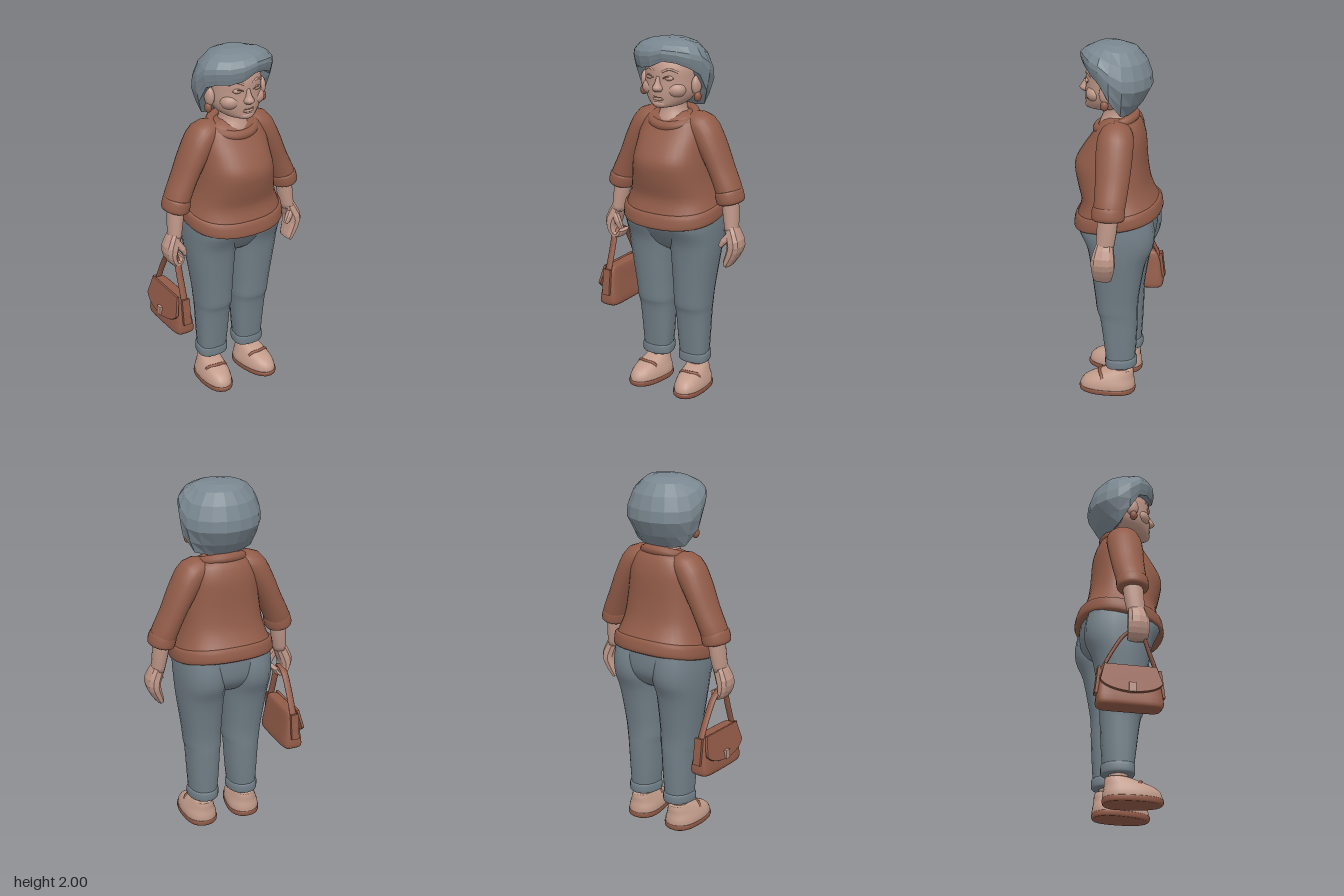
import * as THREE from 'three';

const mat = (name, color) => {
  const m = new THREE.MeshStandardMaterial({ color });
  m.name = name;
  return m;
};

// Closed surface through rows of points, ordered top to bottom
function skinRows(rows, faceted = false) {
  const n = rows[0].length, pos = [], idx = [];
  rows.forEach(r => r.forEach(p => pos.push(...p)));
  const cap = (row, start, flip) => {
    const c = [0, 1, 2].map(k => row.reduce((s, p) => s + p[k], 0) / n);
    const ci = pos.length / 3;
    pos.push(...c);
    for (let j = 0; j < n; j++) {
      const a = start + j, b = start + (j + 1) % n;
      flip ? idx.push(ci, b, a) : idx.push(ci, a, b);
    }
  };
  for (let i = 0; i < rows.length - 1; i++)
    for (let j = 0; j < n; j++) {
      const a = i * n + j, b = i * n + (j + 1) % n;
      idx.push(a, b, a + n, b, b + n, a + n);
    }
  cap(rows[0], 0, true);
  cap(rows[rows.length - 1], (rows.length - 1) * n, false);
  let g = new THREE.BufferGeometry();
  g.setAttribute('position', new THREE.Float32BufferAttribute(pos, 3));
  g.setIndex(idx);
  if (faceted) g = g.toNonIndexed();
  g.computeVertexNormals();
  return g;
}

// Catmull-Rom resampling of ring parameters
function resample(rings, k) {
  const out = [], at = i => rings[Math.max(0, Math.min(rings.length - 1, i))];
  for (let i = 0; i < rings.length - 1; i++)
    for (let s = 0; s < k; s++) {
      const t = s / k;
      out.push(at(i).map((b, c) => {
        const a = at(i - 1)[c], d = at(i + 1)[c], e = at(i + 2)[c];
        return b + 0.5 * t * (d - a + t * (2 * a - 5 * b + 4 * d - e + t * (3 * (b - d) + e - a)));
      }));
    }
  out.push(at(rings.length - 1));
  return out;
}

// Rings are [x, y, z, halfWidth, frontDepth, backDepth, tilt]; bend turns them to follow the path
function loft(rings, { segs = 24, sub = 3, power = 2, bend = false, faceted = false } = {}) {
  const full = rings.map(([x, y, z, rx, rf, rb = rf, tilt = 0]) => [x, y, z, rx, rf, rb, tilt]);
  const rs = resample(full, sub);
  const pw = v => Math.sign(v) * Math.abs(v) ** (2 / power);
  return skinRows(rs.map(([x, y, z, rx, rf, rb, tilt], i) => {
    let ux = 1, uy = 0;
    if (bend) {
      const p = rs[Math.max(0, i - 1)], q = rs[Math.min(rs.length - 1, i + 1)];
      const l = Math.hypot(q[0] - p[0], q[1] - p[1]) || 1;
      ux = (p[1] - q[1]) / l;
      uy = (q[0] - p[0]) / l;
    }
    return Array.from({ length: segs }, (_, j) => {
      const a = j / segs * Math.PI * 2, c = pw(Math.cos(a)) * rx, s = pw(Math.sin(a));
      const dz = s * (s > 0 ? rf : rb);
      return [x + ux * c, y + uy * c + tilt * dz, z + dz];
    });
  }), faceted);
}

const side = (s, rings) => rings.map(([x, ...rest]) => [s * x, ...rest]);

function tube(points, r, closed = false, radial = 8) {
  const curve = new THREE.CatmullRomCurve3(points.map(p => new THREE.Vector3(...p)), closed);
  return new THREE.TubeGeometry(curve, 40, r, radial, closed);
}

// Faceted bob: rows are [radius, height, tuck]; the nape tucks in, the fringe parts on one side
function hairGeometry() {
  const rows = [[0.3, 0.985, 0], [0.6, 0.92, 0], [0.85, 0.76, 0], [0.98, 0.56, 0], [1, 0.4, 0],
    [1, 0.18, 0.45], [1, 0, 1], [0.7, 0.08, 1]];
  const step = THREE.MathUtils.smoothstep;
  return skinRows(rows.map(([r, h, k]) => Array.from({ length: 18 }, (_, j) => {
    const a = j / 18 * Math.PI * 2, c = Math.cos(a), s = Math.sin(a);
    const rad = r * (1 - k * (0.48 - 0.41 * step(s, -0.9, 0.1)));
    const x = 0.225 * c * rad;
    const parting = s > 0 ? 0.06 * Math.max(0, 1 - Math.abs(x - 0.06) / 0.13) : 0;
    const edge = 1.63 + 0.215 * step(s, -0.5, 0.55) + parting;
    const sweep = s > 0.2 && x < 0.06 ? 0.01 : 0;
    return [x, edge + (2 - edge) * h, 0.02 + s * rad * (s > 0 ? 0.175 + sweep : 0.2)];
  })), true);
}

export function createModel() {
  const M = {
    skin: mat('skin', 0xbd9687), crease: mat('face crease', 0x94705f), hair: mat('hair', 0x7a8790),
    knit: mat('knitwear', 0x925c49), trousers: mat('trousers', 0x727f88),
    shoe: mat('shoe leather', 0xc29c8b), brown: mat('brown leather', 0x925b48),
  };
  const model = new THREE.Group();
  model.name = 'standingWoman';
  const body = new THREE.Group();
  body.name = 'body';
  body.position.x = 0.01;
  model.add(body);
  const add = (name, geo, m, p = [0, 0, 0], parent = body) => {
    const mesh = new THREE.Mesh(geo, m);
    mesh.name = name;
    mesh.position.set(...p);
    parent.add(mesh);
    return mesh;
  };
  const ball = (name, m, p, sx, sy, sz) =>
    add(name, new THREE.SphereGeometry(1, 16, 12), m, p).scale.set(sx, sy, sz);

  // Sweater body, hem and collar
  add('sweater', loft([
    [0, 1.605, 0, 0.1, 0.05, 0.085, 0], [0, 1.57, 0, 0.16, 0.1, 0.118, 0], [0, 1.5, 0, 0.19, 0.145, 0.142, 0],
    [0, 1.42, 0, 0.2, 0.2, 0.15, 0], [0, 1.34, 0, 0.21, 0.238, 0.155, 0], [0, 1.24, 0, 0.224, 0.222, 0.17, -0.03],
    [0, 1.16, 0, 0.245, 0.2, 0.195, -0.1], [0, 1.09, 0, 0.272, 0.225, 0.225, -0.16],
  ], { segs: 36, power: 2.4 }), M.knit);
  add('sweaterHem', loft([
    [0, 1.108, 0, 0.262, 0.212, 0.215, -0.17], [0, 1.098, 0, 0.28, 0.232, 0.23, -0.17],
    [0, 1.04, 0, 0.285, 0.242, 0.24, -0.17], [0, 1.025, 0, 0.27, 0.23, 0.224, -0.17],
  ], { segs: 36, power: 2.35 }), M.knit);
  add('collar', tube(Array.from({ length: 16 }, (_, i) => {
    const a = i / 16 * Math.PI * 2;
    return [0.122 * Math.cos(a), 1.57 - 0.038 * Math.sin(a), 0.015 + 0.1 * Math.sin(a)];
  }), 0.027, true, 10), M.knit);

  // Neck, head and hair
  add('neck', loft([[0, 1.7, 0.01, 0.075, 0.07, 0.06], [0, 1.62, 0.01, 0.07, 0.075, 0.07],
    [0, 1.56, 0.01, 0.1, 0.098, 0.08], [0, 1.52, 0.01, 0.1, 0.098, 0.08]]), M.skin);
  add('head', loft([
    [0, 1.94, 0.03, 0.09, 0.1, 0.1], [0, 1.86, 0.03, 0.138, 0.142, 0.14], [0, 1.79, 0.03, 0.144, 0.146, 0.14],
    [0, 1.73, 0.03, 0.142, 0.15, 0.12], [0, 1.685, 0.04, 0.122, 0.138, 0.09],
    [0, 1.65, 0.06, 0.08, 0.115, 0.06], [0, 1.637, 0.08, 0.03, 0.06, 0.03],
  ]), M.skin);
  add('hair', hairGeometry(), M.hair);

  // Face
  add('nose', loft([[0, 1.81, 0.16, 0.012, 0.02], [0, 1.775, 0.165, 0.017, 0.034],
    [0, 1.748, 0.165, 0.032, 0.05], [0, 1.73, 0.165, 0.022, 0.03]], { segs: 12 }), M.skin);
  ball('chin', M.skin, [0, 1.662, 0.15], 0.045, 0.025, 0.033);
  ball('lowerLip', M.skin, [0, 1.69, 0.17], 0.035, 0.009, 0.014);
  add('mouth', tube([[-0.05, 1.712, 0.158], [-0.02, 1.701, 0.177], [0.02, 1.701, 0.177], [0.05, 1.712, 0.158]], 0.0025), M.crease);
  for (const s of [-1, 1]) {
    ball('cheek', M.skin, [s * 0.07, 1.738, 0.112], 0.06, 0.045, 0.054);
    ball('eye', M.skin, [s * 0.056, 1.803, 0.156], 0.026, 0.014, 0.018);
    add('eyelid', tube([[s * 0.028, 1.8, 0.172], [s * 0.055, 1.812, 0.172], [s * 0.085, 1.801, 0.152]], 0.003), M.crease);
    add('brow', tube([[s * 0.025, 1.835, 0.171], [s * 0.06, 1.85, 0.16], [s * 0.1, 1.832, 0.131]], 0.006), M.skin);
    ball('ear', M.skin, [s * 0.158, 1.758, 0.045], 0.024, 0.052, 0.036);
    ball('earring', M.brown, [s * 0.168, 1.7, 0.05], 0.02, 0.028, 0.022);
  }

  // Trousers: seat between the legs, then each leg with its turned-up cuff
  add('trouserSeat', loft([
    [0, 1.07, 0, 0.25, 0.2, 0.21, -0.1], [0, 0.99, 0, 0.25, 0.195, 0.212, 0], [0, 0.92, 0, 0.22, 0.155, 0.195, 0],
    [0, 0.86, 0, 0.15, 0.11, 0.14, 0], [0, 0.82, 0, 0.06, 0.05, 0.06, 0],
  ], { segs: 28, power: 2.2 }), M.trousers);
  for (const s of [-1, 1]) {
    add('trouserLeg', loft(side(s, [
      [0.132, 1.07, 0, 0.128, 0.19, 0.195, -0.1], [0.132, 0.99, 0, 0.135, 0.196, 0.216, 0],
      [0.132, 0.9, 0, 0.134, 0.155, 0.21, 0], [0.131, 0.8, 0, 0.127, 0.136, 0.168, 0],
      [0.122, 0.6, 0, 0.109, 0.113, 0.132, 0], [0.118, 0.51, 0, 0.104, 0.104, 0.125, 0], [0.118, 0.46, 0, 0.097, 0.087, 0.125, 0],
      [0.118, 0.3, 0, 0.088, 0.065, 0.118, 0], [0.12, 0.18, 0, 0.078, 0.05, 0.11, 0],
    ]), { segs: 18, power: 2.3 }), M.trousers);
    add('trouserCuff', loft(side(s, [[0.12, 0.216, 0, 0.078, 0.05, 0.11], [0.12, 0.21, 0, 0.088, 0.057, 0.121],
      [0.12, 0.168, 0, 0.088, 0.057, 0.121], [0.12, 0.16, 0, 0.078, 0.05, 0.11]]), { power: 2.2 }), M.trousers);
    add('ankle', new THREE.CylinderGeometry(0.05, 0.052, 0.1, 16), M.skin, [s * 0.125, 0.145, -0.03]);

    // Shoe with sole and strap
    const shoe = new THREE.Group();
    shoe.name = 'shoe';
    shoe.position.set(s * 0.135, 0, 0);
    shoe.rotation.y = s * 0.1;
    body.add(shoe);
    add('shoeUpper', loft([
      [0, 0.142, -0.035, 0.054, 0.06, 0.065], [0, 0.12, -0.02, 0.064, 0.115, 0.085], [0, 0.09, 0, 0.076, 0.165, 0.106],
      [0, 0.055, 0, 0.087, 0.196, 0.113], [0, 0.02, 0, 0.088, 0.2, 0.113],
    ], { power: 2.2 }), M.shoe, [0, 0, 0], shoe);
    add('sole', loft([[0, 0.032, 0, 0.088, 0.2, 0.112], [0, 0.026, 0, 0.092, 0.206, 0.116],
      [0, 0.008, 0, 0.09, 0.202, 0.115], [0, 0, 0, 0.084, 0.192, 0.11]], { power: 2.3 }), M.brown, [0, 0, 0], shoe);
    add('shoeStrap', tube([[-0.062, 0.095, 0.07], [-0.045, 0.113, 0.078], [0, 0.12, 0.09],
      [0.045, 0.113, 0.078], [0.062, 0.095, 0.07]], 0.009), M.brown, [0, 0, 0], shoe);

    // Sleeve, cuff and forearm
    add('sleeve', loft(side(s, [
      [0.09, 1.55, -0.01, 0.05, 0.07], [0.165, 1.527, -0.01, 0.08, 0.095], [0.228, 1.43, -0.01, 0.074, 0.098],
      [0.285, 1.31, -0.01, 0.067, 0.09], [0.334, 1.2, -0.005, 0.07, 0.084], [0.345, 1.16, 0, 0.066, 0.08],
    ]), { bend: true }), M.knit);
    add('sleeveCuff', loft(side(s, [[0.334, 1.202, 0, 0.066, 0.08], [0.337, 1.19, 0, 0.074, 0.087],
      [0.349, 1.145, 0, 0.074, 0.087], [0.352, 1.132, 0, 0.062, 0.076]]), { bend: true }), M.knit);
    add('forearm', loft(side(s, [[0.343, 1.18, 0, 0.045, 0.055], [0.354, 1.08, 0.005, 0.043, 0.054],
      [0.367, 0.98, 0.015, 0.036, 0.048]]), { bend: true, segs: 14 }), M.skin);
  }

  // Relaxed left hand, and right hand hooked round the bag strap
  const hand = { bend: true, segs: 10, sub: 2, power: 2.6, faceted: true };
  add('leftHand', loft([[0.364, 1.0, 0.015, 0.035, 0.046], [0.394, 0.93, 0.02, 0.04, 0.063],
    [0.392, 0.88, 0.02, 0.036, 0.064], [0.36, 0.805, 0.028, 0.024, 0.052], [0.353, 0.79, 0.028, 0.016, 0.045]], hand), M.skin);
  add('leftThumb', loft([[0.376, 0.97, 0.045, 0.02, 0.02], [0.345, 0.93, 0.062, 0.019, 0.018],
    [0.326, 0.9, 0.066, 0.012, 0.012]], hand), M.skin);
  add('rightHand', loft(side(-1, [[0.364, 1.0, 0.015, 0.035, 0.046], [0.394, 0.93, 0.018, 0.04, 0.058],
    [0.398, 0.88, 0.018, 0.028, 0.06], [0.38, 0.84, 0.018, 0.02, 0.056], [0.35, 0.838, 0.018, 0.016, 0.052],
    [0.335, 0.865, 0.018, 0.013, 0.045]]), hand), M.skin);
  add('rightThumb', loft(side(-1, [[0.376, 0.97, 0.045, 0.02, 0.02], [0.342, 0.92, 0.06, 0.019, 0.018],
    [0.325, 0.88, 0.055, 0.012, 0.012]]), hand), M.skin);

  // Handbag: body, flap, clasp, end tabs and strap
  const bag = new THREE.Group();
  bag.name = 'handbag';
  bag.position.set(-0.362, 0, -0.027);
  model.add(bag);
  add('bagBody', loft([
    [0, 0.66, 0, 0.022, 0.115], [0, 0.645, 0, 0.034, 0.142], [0, 0.56, 0, 0.046, 0.162],
    [0, 0.46, 0, 0.061, 0.175], [0, 0.435, 0, 0.052, 0.162],
  ], { power: 5, segs: 32 }), M.brown, [0, 0, 0], bag);
  const flap = new THREE.Shape();
  flap.moveTo(-0.135, 0.15);
  flap.lineTo(0.135, 0.15);
  flap.lineTo(0.16, 0.05);
  flap.quadraticCurveTo(0.13, 0, 0, -0.01);
  flap.quadraticCurveTo(-0.13, 0, -0.16, 0.05);
  const flapMesh = add('bagFlap', new THREE.ExtrudeGeometry(flap, {
    depth: 0.008, bevelThickness: 0.004, bevelSize: 0.004, bevelSegments: 2, curveSegments: 10,
  }), M.brown, [-0.062, 0.51, 0], bag);
  flapMesh.rotation.set(0, -Math.PI / 2, -0.22, 'ZYX');
  add('bagClasp', new THREE.BoxGeometry(0.016, 0.05, 0.035), M.skin, [-0.074, 0.525, 0], bag);
  for (const s of [-1, 1]) {
    const tab = add('bagTab', new THREE.BoxGeometry(0.046, 0.15, 0.016), M.brown, [0, 0.575, s * 0.168], bag);
    tab.rotation.x = -s * 0.12;
  }
  const strap = add('bagStrap', tube([[0, 0.58, -0.168], [0, 0.64, -0.143], [0, 0.75, -0.088], [0, 0.85, -0.02],
    [0, 0.872, 0.035], [0, 0.85, 0.072], [0, 0.75, 0.11], [0, 0.64, 0.148], [0, 0.58, 0.168]], 0.01), M.brown, [0, 0, 0], bag);
  strap.scale.x = 2;

  return model;
}
